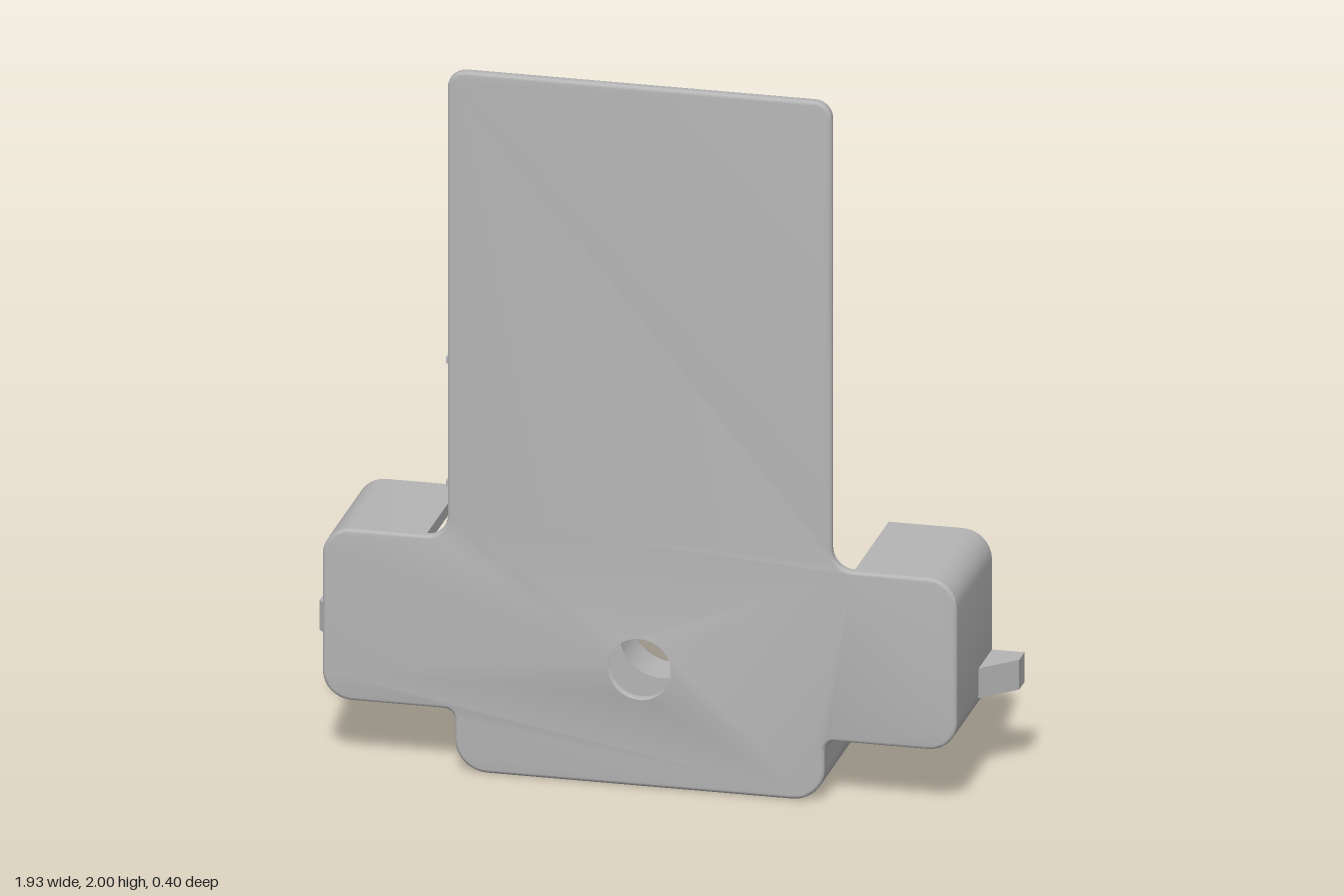
import * as THREE from 'three';
import { toCreasedNormals } from 'three/addons/utils/BufferGeometryUtils.js';

const HOLE_Y = 0.335;

export function createModel() {
  const model = new THREE.Group();
  const grey = new THREE.MeshStandardMaterial({ color: 0xb4b4b4, side: THREE.DoubleSide });

  const add = (name, geo) => {
    const mesh = new THREE.Mesh(toCreasedNormals(geo, 0.6), grey);
    mesh.name = name;
    model.add(mesh);
    return mesh;
  };
  const box = (name, x0, x1, y0, y1, z0, z1) =>
    add(name, new THREE.BoxGeometry(x1 - x0, y1 - y0, z1 - z0).translate((x0 + x1) / 2, (y0 + y1) / 2, (z0 + z1) / 2));
  const slab = (shape, z0, z1) =>
    new THREE.ExtrudeGeometry(shape, { depth: z1 - z0, bevelEnabled: false, curveSegments: 20 }).translate(0, 0, z0);
  const poly = (pts) => new THREE.Shape(pts.map(([x, y]) => new THREE.Vector2(x, y)));
  const circle = (x, y, r) => new THREE.Path().absarc(x, y, r, 0, Math.PI * 2, true);

  // Rounds the corners of a polyline given as [x, y, radius]
  const rounded = (pts, closed) => {
    const out = [];
    pts.forEach(([x, y, r], i) => {
      const p = new THREE.Vector2(x, y);
      if (!r || (!closed && (i === 0 || i === pts.length - 1))) return out.push(p);
      const a = pts[(i + pts.length - 1) % pts.length], b = pts[(i + 1) % pts.length];
      const u = new THREE.Vector2(a[0] - x, a[1] - y).normalize().multiplyScalar(r);
      const v = new THREE.Vector2(b[0] - x, b[1] - y).normalize().multiplyScalar(r);
      for (let k = 0; k <= 8; k++) {
        const t = (k / 8) * Math.PI / 2;
        out.push(p.clone().add(u).add(v).addScaledVector(v, -Math.cos(t)).addScaledVector(u, -Math.sin(t)));
      }
    });
    return out;
  };
  // Moves an open path sideways, towards the inside of the housing
  const offset = (path, d) => path.map((p, i) => {
    const q0 = path[Math.max(i - 1, 0)], q1 = path[Math.min(i + 1, path.length - 1)];
    const n0 = p.clone().sub(q0).normalize(), n1 = q1.clone().sub(p).normalize();
    const t = n0.add(n1).normalize();
    return new THREE.Vector2(p.x + t.y * -d * -1, p.y - t.x * d);
  });

  // Front plate with the round opening
  const right = [[0.53, 2, 0.05], [0.53, 0.665, 0.06], [0.875, 0.665, 0.08], [0.875, 0.175, 0.08], [0.51, 0.175, 0.03], [0.51, 0, 0.09]];
  const left = right.map(([x, y, r]) => [-x, y, r]).reverse();
  const plate = new THREE.Shape(rounded([...right, ...left], true));
  plate.holes.push(circle(0, HOLE_Y, 0.097));
  add('frontPlate', new THREE.ExtrudeGeometry(plate, {
    depth: 0.01, bevelThickness: 0.01, bevelSize: 0.01, bevelOffset: -0.01, bevelSegments: 3, curveSegments: 32,
  }).translate(0, 0, 0.18));

  // Housing wall with a stepped rim, open at the top between the wings
  const half = [[0.59, 0.665, 0], ...right.slice(2)];
  const path = rounded([...half, ...half.map(([x, y, r]) => [-x, y, r]).reverse()], false);
  const wall = (name, d0, d1, z0) =>
    add(name, slab(new THREE.Shape([...offset(path, d0), ...offset(path, d1).reverse()]), z0, 0.188));
  wall('outerWall', 0, 0.016, -0.2);
  wall('innerWall', 0.015, 0.035, -0.185);

  // Sloped strip between the lower walls and the plate
  const low = path.filter((p) => p.y < 0.3);
  const hi = offset(low, 0.033), lo = offset(low, 0.085);
  const pos = [];
  for (let i = 0; i < low.length - 1; i++) {
    const a = [hi[i].x, hi[i].y, 0.11], b = [hi[i + 1].x, hi[i + 1].y, 0.11];
    const c = [lo[i].x, lo[i].y, 0.171], d = [lo[i + 1].x, lo[i + 1].y, 0.171];
    pos.push(...a, ...b, ...c, ...b, ...d, ...c);
  }
  const strip = new THREE.BufferGeometry();
  strip.setAttribute('position', new THREE.Float32BufferAttribute(pos, 3));
  add('innerSlope', strip);

  // Screw post with a tapered foot; the foot runs out at "to" along the axis
  const post = (name, x0, x1, y0, y1, zBack, zMid, zFront, axis, to) => {
    const s = poly([[x0, y0], [x1, y0], [x1, y1], [x0, y1]]);
    s.holes.push(circle((x0 + x1) / 2, (y0 + y1) / 2, 0.022));
    add(name, slab(s, zBack, zMid));
    const foot = slab(poly([[x0, y0], [x1, y0], [x1, y1], [x0, y1]]), zMid, zFront);
    const p = foot.attributes.position;
    for (let i = 0; i < p.count; i++) {
      if (p.getZ(i) > zFront - 1e-4) axis === 'x' ? p.setX(i, to) : p.setY(i, to);
    }
    foot.computeVertexNormals();
    add(name + 'Foot', foot);
  };
  for (const s of [1, -1]) {
    const span = (a, b) => (s > 0 ? [a, b] : [-b, -a]);
    post('sideEar', ...span(0.87, 0.965), 0.24, 0.325, -0.2, -0.14, -0.045, 'x', s * 0.87);
    post('wingPost', ...span(0.755, 0.85), 0.53, 0.64, -0.185, -0.13, -0.03, 'x', s * 0.85);
    post('lowerPost', ...span(0.155, 0.25), 0.02, 0.11, -0.185, -0.13, -0.05, 'y', 0.02);
  }

  // Small mounting bosses near the plate corners
  const Z0 = 0.137, Z1 = 0.172;
  const boss = (x, y) => {
    const s = new THREE.Shape().absarc(x, y, 0.035, 0, Math.PI * 2);
    s.holes.push(circle(x, y, 0.019));
    add('boss', slab(s, Z0, Z1));
  };
  for (const m of [1, -1]) {
    const Y = (y) => 1.32 + m * y;
    boss(0.465, Y(0.605));
    boss(0.34, Y(0.525));
    add('bossWedge', slab(poly([[0.475, Y(0.638)], [0.235, Y(0.56)], [0.43, Y(0.595)]]), Z0, Z1));
    const a = [-0.47, Y(0.595)], b = [-0.355, Y(0.52)];
    const ang = Math.atan2(b[1] - a[1], b[0] - a[0]);
    const pill = new THREE.Shape();
    pill.absarc(...b, 0.035, ang - Math.PI / 2, ang + Math.PI / 2);
    pill.absarc(...a, 0.035, ang + Math.PI / 2, ang + Math.PI * 1.5);
    pill.holes.push(circle(...a, 0.019), circle(...b, 0.019));
    add('doubleBoss', slab(pill, Z0, Z1));
  }

  // Slotted side bracket, drawn in (z, y) and turned to face sideways
  const bracket = poly([[0.03, 0.8], [0.172, 0.8], [0.172, 1.17], [0.03, 1.17]]);
  const oval = new THREE.Path();
  oval.absarc(0.1, 1.125, 0.021, 0, Math.PI);
  oval.absarc(0.1, 1.055, 0.021, Math.PI, Math.PI * 2);
  oval.closePath();
  bracket.holes.push(oval, poly([[0.095, 0.825], [0.12, 0.825], [0.12, 1.005], [0.095, 1.005]]));
  add('bracketWall', slab(bracket, 0, 0.02).rotateY(-Math.PI / 2).translate(-0.41, 0, 0));
  box('bracketTop', -0.54, -0.42, 1.152, 1.17, 0.03, 0.172);
  box('bracketBottom', -0.54, -0.42, 0.8, 0.818, 0.03, 0.172);

  // Ledge and two blocks beside the opening
  box('ledge', 0, 0.45, 0.47, 0.59, 0.11, 0.172);
  for (const [x0, x1] of [[0.05, 0.14], [0.38, 0.455]]) box('ledgeBlock', x0, x1, 0.43, 0.5, -0.04, 0.172);

  // Half tube behind the opening, with a flared collar
  const tube = new THREE.Shape();
  tube.absarc(0, HOLE_Y, 0.148, 0, Math.PI);
  tube.absarc(0, HOLE_Y, 0.115, Math.PI, 0, true);
  add('halfTube', slab(tube, -0.06, 0.172));
  const collar = [[0.115, 0.172], [0.2, 0.172], [0.148, 0.12], [0.115, 0.12], [0.115, 0.172]];
  add('collar', new THREE.LatheGeometry(collar.map(([r, z]) => new THREE.Vector2(r, z)), 40)
    .rotateX(Math.PI / 2).translate(0, HOLE_Y, 0));

  // Clamp flange over the tube end, tapering forward on to the tube
  const clampShape = () => {
    const s = poly([[0.155, HOLE_Y], [0.24, 0.39], [0.24, 0.47], [0.12, 0.57], [-0.12, 0.57], [-0.24, 0.47], [-0.24, 0.39], [-0.155, HOLE_Y], [-0.115, HOLE_Y]]);
    s.absarc(0, HOLE_Y, 0.115, Math.PI, 0, true);
    return s;
  };
  const clamp = clampShape();
  clamp.holes.push(circle(0, 0.51, 0.024), circle(0.195, 0.435, 0.024), circle(-0.195, 0.435, 0.024));
  add('clampFlange', slab(clamp, -0.18, -0.1));
  const taper = slab(clampShape(), -0.1, -0.05);
  const tp = taper.attributes.position;
  for (let i = 0; i < tp.count; i++) {
    const x = tp.getX(i), y = tp.getY(i) - HOLE_Y, r = Math.hypot(x, y);
    if (tp.getZ(i) > -0.051 && r > 0.13) tp.setXY(i, x * 0.15 / r, HOLE_Y + y * 0.15 / r);
  }
  taper.computeVertexNormals();
  add('clampTaper', taper);

  // Pedestal with a round saddle under the clamp
  const pedestal = poly([[-0.155, 0.02], [0.155, 0.02], [0.155, HOLE_Y], [0.115, HOLE_Y]]);
  pedestal.absarc(0, HOLE_Y, 0.115, 0, -Math.PI, true);
  pedestal.lineTo(-0.155, HOLE_Y);
  add('pedestal', slab(pedestal, -0.18, -0.05));

  return model;
}
